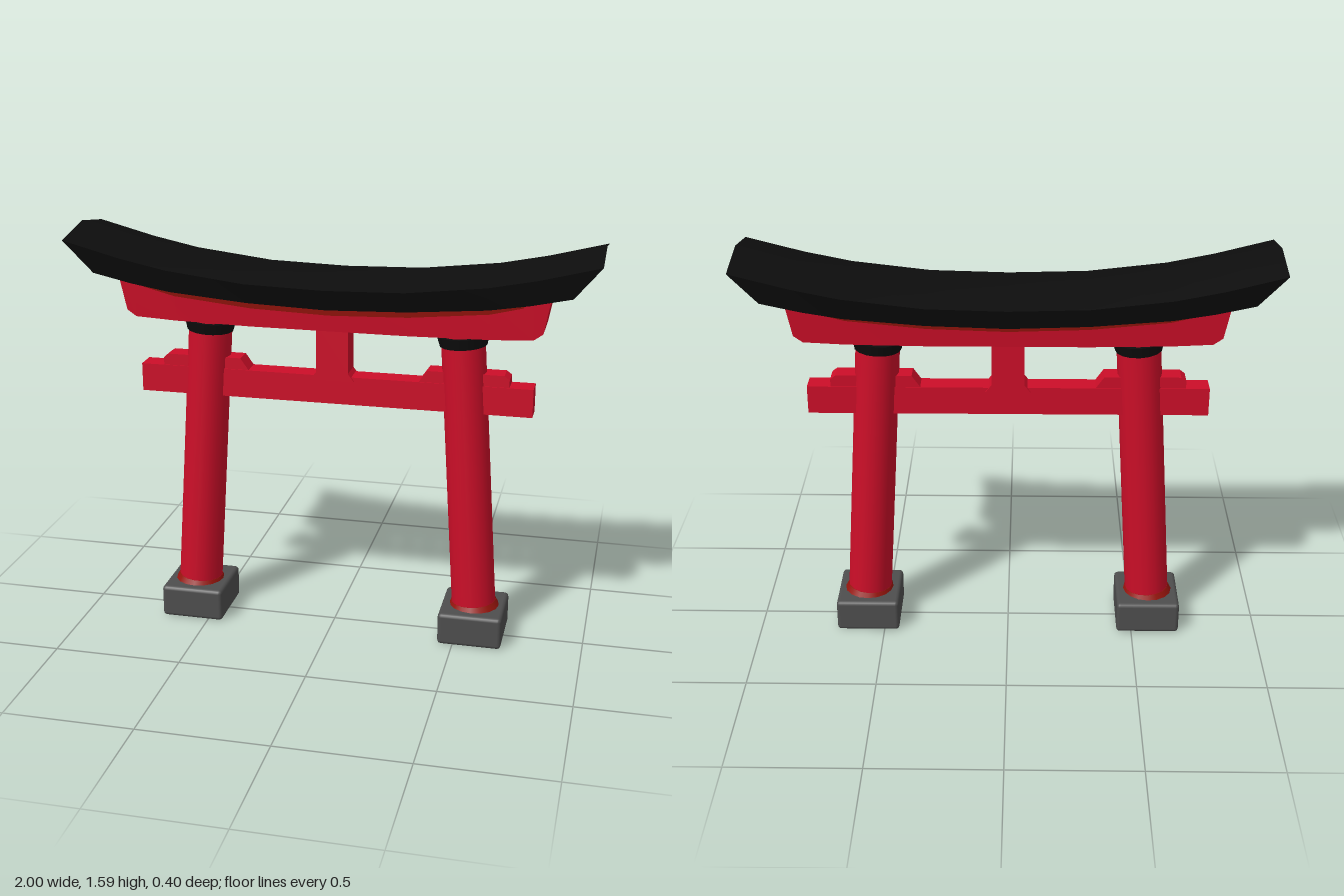
import * as THREE from 'three';
import { toCreasedNormals } from 'three/addons/utils/BufferGeometryUtils.js';
import { RoundedBoxGeometry } from 'three/addons/geometries/RoundedBoxGeometry.js';

const paint = (name, color) => {
  const m = new THREE.MeshStandardMaterial({ color });
  m.name = name;
  return m;
};

// Skin over rings of points running along +x, closed at both ends
function loft(rings) {
  const pos = [], n = rings[0].length, last = rings[rings.length - 1];
  const tri = (a, b, c) => pos.push(...a, ...b, ...c);
  for (let i = 0; i < rings.length - 1; i++) {
    for (let j = 0; j < n; j++) {
      const k = (j + 1) % n;
      tri(rings[i][j], rings[i][k], rings[i + 1][k]);
      tri(rings[i][j], rings[i + 1][k], rings[i + 1][j]);
    }
  }
  for (let j = 1; j < n - 1; j++) {
    tri(last[0], last[j], last[j + 1]);
    tri(rings[0][0], rings[0][j + 1], rings[0][j]);
  }
  const g = new THREE.BufferGeometry();
  g.setAttribute('position', new THREE.Float32BufferAttribute(pos, 3));
  return toCreasedNormals(g, 0.4);
}

// Mirror the half profile [xTop, xBottom, yTop, yBottom] to both sides
const bothSides = (half) => [
  ...half.slice().reverse().map(([a, b, t, u]) => [-a, -b, t, u]),
  ...half.slice(1),
];

// Front outline extruded evenly about z = 0
function slab(points, depth) {
  const shape = new THREE.Shape(points.map(([x, y]) => new THREE.Vector2(x, y)));
  return new THREE.ExtrudeGeometry(shape, { depth, bevelEnabled: false }).translate(0, 0, -depth / 2);
}

export function createModel() {
  const group = new THREE.Group();
  const red = paint('vermilion', 0xcc0e28);
  const darkRed = paint('darkRed', 0x96140c);
  const black = paint('black', 0x0d0d0d);
  const stone = paint('stone', 0x4e4e4e);
  const add = (name, geometry, material, parent = group) => {
    const mesh = new THREE.Mesh(geometry, material);
    mesh.name = name;
    parent.add(mesh);
    return mesh;
  };

  // Upswept roof with a low ridge and inward-leaning ends
  const roof = bothSides([
    [0, 0, 1.455, 1.335], [0.3, 0.3, 1.463, 1.345], [0.6, 0.6, 1.498, 1.37],
    [0.78, 0.75, 1.535, 1.395], [1, 0.9, 1.592, 1.428],
  ]);
  add('roof', loft(roof.map(([a, b, t, u]) => [
    [a, t, 0], [a, t - 0.036, 0.202], [b, u, 0.16], [b, u, -0.16], [a, t - 0.036, -0.202],
  ])), black);

  // Curved upper beam and the dark strip below the roof
  const beamRings = (half, zTop, zBottom) => loft(bothSides(half).map(([a, b, t, u]) => [
    [a, t, zTop], [b, u, zBottom], [b, u, -zBottom], [a, t, -zTop],
  ]));
  add('upperBeam', beamRings([
    [0, 0, 1.35, 1.237], [0.3, 0.3, 1.355, 1.237], [0.6, 0.6, 1.38, 1.242],
    [0.76, 0.76, 1.4, 1.25], [0.82, 0.795, 1.41, 1.275],
  ], 0.105, 0.095), red);
  add('soffitStrip', beamRings([
    [0, 0, 1.345, 1.3], [0.3, 0.3, 1.355, 1.31], [0.6, 0.6, 1.38, 1.34], [0.74, 0.72, 1.4, 1.37],
  ], 0.11, 0.104), darkRed);

  // Tie beam and middle strut
  add('tieBeam', new THREE.BoxGeometry(1.53, 0.11, 0.084).translate(0, 0.99, 0), red);
  add('middleStrut', slab([
    [-0.085, 1.03], [0.085, 1.03], [0.062, 1.06], [0.062, 1.25], [-0.062, 1.25], [-0.062, 1.06],
  ], 0.1), red);

  for (const s of [-1, 1]) {
    const side = new THREE.Group();
    side.name = s > 0 ? 'leftPost' : 'rightPost';
    group.add(side);

    // Stone foot
    add('foot', new RoundedBoxGeometry(0.25, 0.13, 0.264, 2, 0.015), stone, side)
      .position.set(s * 0.565, 0.065, 0);

    // Leaning column with collar and cap
    const lean = new THREE.Group();
    lean.name = 'column';
    lean.position.set(s * 0.565, 0.12, 0);
    lean.rotation.z = s * 0.067;
    side.add(lean);
    add('shaft', new THREE.CylinderGeometry(0.084, 0.087, 1.16, 16).translate(0, 0.58, 0), red, lean);
    add('flange', new THREE.CylinderGeometry(0.088, 0.1, 0.025, 16).translate(0, 0.016, 0), darkRed, lean);
    add('collar', new THREE.CylinderGeometry(0.1, 0.09, 0.042, 16).translate(0, 1.095, 0), black, lean);

    // Wedge through the tie beam
    add('wedge', slab([
      [0.33, 1.04], [0.675, 1.04], [0.675, 1.075], [0.655, 1.09], [0.365, 1.09],
    ].map(([x, y]) => [s * x, y]), 0.076), red, side);
  }
  return group;
}
